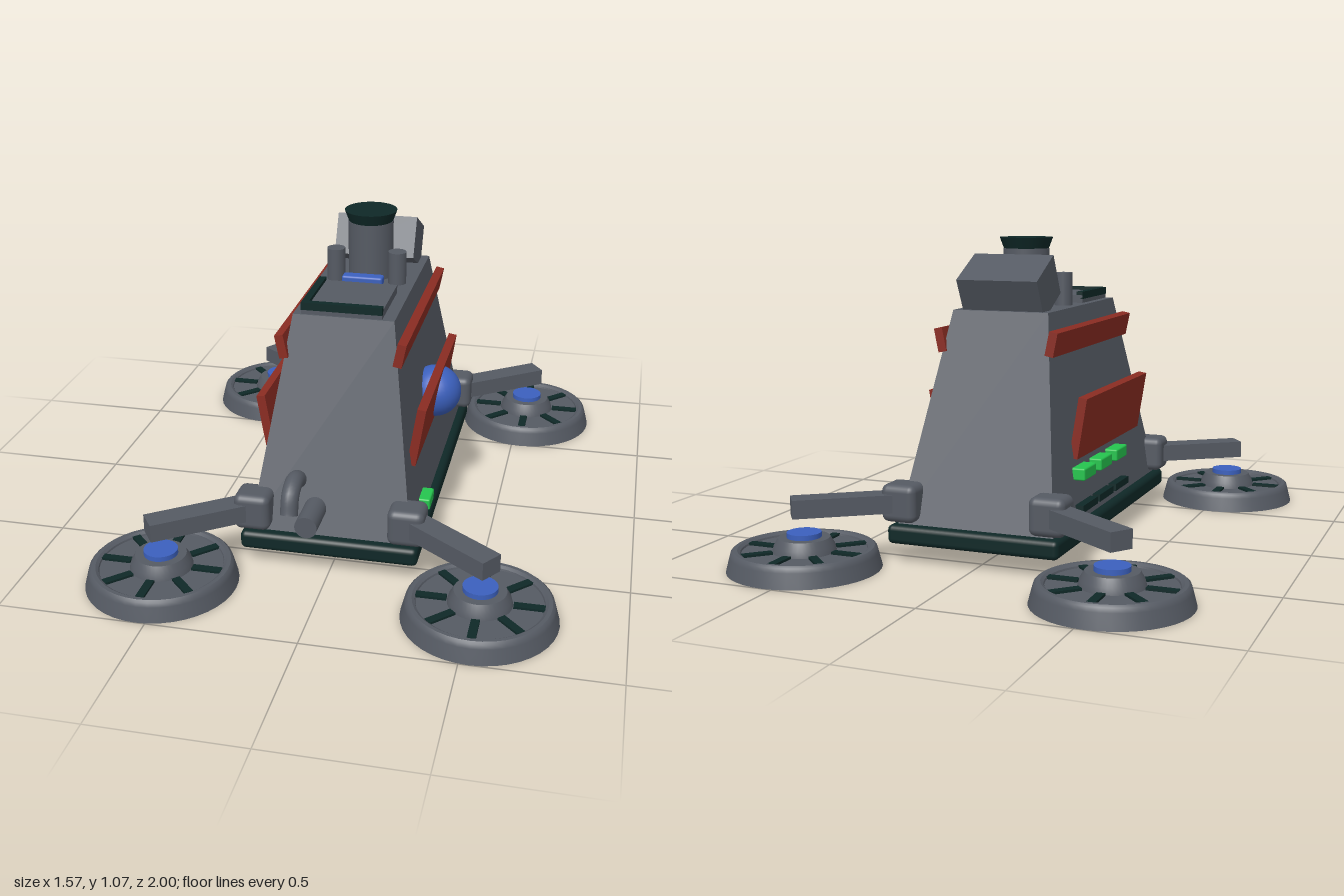
import * as THREE from 'three';
import { toCreasedNormals } from 'three/addons/utils/BufferGeometryUtils.js';
import { RoundedBoxGeometry } from 'three/addons/geometries/RoundedBoxGeometry.js';

const mat = (name, color) => {
  const m = new THREE.MeshStandardMaterial({ color });
  m.name = name;
  return m;
};

export function createModel() {
  const model = new THREE.Group();
  model.name = 'walkerMachine';
  const grey = mat('hull grey', 0x555a63);
  const dark = mat('dark green trim', 0x0f2827);
  const red = mat('red panel', 0x8a2c22);
  const blue = mat('blue lens', 0x3b60bd);
  const green = mat('green light', 0x25c44e);

  const add = (name, geometry, material, x, y, z, parent = model) => {
    const mesh = new THREE.Mesh(geometry, material);
    mesh.name = name;
    mesh.position.set(x, y, z);
    parent.add(mesh);
    return mesh;
  };
  const box = (w, h, d) => new THREE.BoxGeometry(w, h, d);
  const rounded = (w, h, d, r) => new RoundedBoxGeometry(w, h, d, 3, r);
  const cyl = (rTop, rBottom, h, n = 32) => new THREE.CylinderGeometry(rTop, rBottom, h, n);

  // Base plate and tapered hull
  add('basePlate', rounded(0.606, 0.064, 1.21, 0.018), dark, 0, 0.099, 0);
  const hull = box(0.552, 0.7, 1.14);
  const p = hull.attributes.position;
  for (let i = 0; i < p.count; i++) {
    if (p.getY(i) > 0) p.setXYZ(i, Math.sign(p.getX(i)) * 0.172, 0.35, Math.sign(p.getZ(i)) * 0.343);
  }
  const hullGeometry = hull.toNonIndexed();
  hullGeometry.computeVertexNormals();
  add('hull', hullGeometry, grey, 0, 0.48, 0);

  // Side armour, tilted outward at the top
  for (const s of [1, -1]) {
    add('sidePanel', box(0.03, 0.21, 0.69), red, s * 0.26, 0.44, 0.052).rotation.z = -s * 0.16;
    add('upperRail', box(0.03, 0.082, 0.79), red, s * 0.2, 0.731, 0.004).rotation.z = -s * 0.2;
  }
  add('sideDome', new THREE.SphereGeometry(0.093, 32, 20), blue, 0.26, 0.44, 0);

  // Side lights and vents
  for (const z of [0.32, 0.46]) {
    add('leftLight', rounded(0.045, 0.04, z < 0.4 ? 0.09 : 0.075, 0.006), green, 0.283, 0.172, z);
  }
  for (const z of [-0.26, -0.085, 0.09]) {
    add('rightLight', rounded(0.05, 0.042, 0.12, 0.006), green, -0.27, 0.289, z);
    add('rightVent', box(0.04, 0.025, 0.15), dark, -0.276, 0.175, z);
  }

  // Roof hatch with dark edging on two sides
  add('roofHatch', box(0.275, 0.03, 0.265), grey, -0.008, 0.843, 0.205);
  add('hatchSideEdge', box(0.024, 0.026, 0.265), dark, -0.134, 0.857, 0.205);
  add('hatchFrontEdge', box(0.275, 0.026, 0.024), dark, -0.008, 0.857, 0.326);
  add('roofLamp', rounded(0.145, 0.032, 0.046, 0.008), blue, -0.002, 0.852, 0.024);

  // Chimney, small stacks and the tilted rear box
  add('chimney', cyl(0.08, 0.08, 0.21), grey, 0, 0.927, -0.105);
  add('chimneyCap', cyl(0.093, 0.078, 0.04), dark, 0, 1.05, -0.105);
  for (const s of [1, -1]) add('smallStack', cyl(0.032, 0.032, 0.12, 20), grey, s * 0.11, 0.885, -0.03);
  add('rearBox', box(0.29, 0.15, 0.175), grey, 0, 0.908, -0.265).rotation.x = -0.48;

  // Front pipes
  const bend = new THREE.CatmullRomCurve3([
    [0.24, 0.46], [0.295, 0.5], [0.32, 0.555], [0.297, 0.612], [0.235, 0.636],
  ].map(([y, z]) => new THREE.Vector3(-0.12, y, z)));
  add('bentPipe', new THREE.TubeGeometry(bend, 24, 0.03, 16), grey, 0, 0, 0);
  const pipeEnd = add('bentPipeEnd', new THREE.CircleGeometry(0.03, 16), grey, -0.12, 0.235, 0.636);
  pipeEnd.rotation.x = Math.PI / 2 - 0.37;
  add('straightPipe', cyl(0.038, 0.038, 0.2, 24), grey, -0.055, 0.215, 0.573).rotation.x = Math.PI / 2;

  // Four legs: clamp, arm and round foot
  const footProfile = [
    [0, 0], [0.255, 0], [0.242, 0.05], [0.238, 0.064], [0.23, 0.071], [0.217, 0.071],
    [0.207, 0.064], [0.205, 0.058], [0.105, 0.058], [0.1, 0.078], [0.085, 0.104], [0, 0.104],
  ].map(([r, y]) => new THREE.Vector2(r, y));
  const footGeometry = toCreasedNormals(new THREE.LatheGeometry(footProfile, 40), 0.6);
  const clampGeometry = rounded(0.124, 0.128, 0.115, 0.025);
  const armGeometry = box(0.38, 0.062, 0.082);
  const spokeGeometry = box(0.1, 0.012, 0.028);
  const capGeometry = cyl(0.057, 0.057, 0.02, 24);

  for (const sx of [1, -1]) for (const sz of [1, -1]) {
    const leg = new THREE.Group();
    leg.name = (sz > 0 ? 'front' : 'rear') + (sx > 0 ? 'Left' : 'Right') + 'Leg';
    model.add(leg);
    add('cornerClamp', clampGeometry, grey, sx * 0.262, 0.204, sz * 0.551, leg);
    const arm = add('arm', armGeometry, grey, sx * 0.412, 0.204, sz * 0.655, leg);
    arm.rotation.y = -sx * sz * 0.622;

    const foot = new THREE.Group();
    foot.name = 'foot';
    foot.position.set(sx * 0.532, 0, sz * 0.745);
    leg.add(foot);
    add('footPad', footGeometry, grey, 0, 0, 0, foot);
    add('footCap', capGeometry, blue, 0, 0.111, 0, foot);
    for (let i = 0; i < 8; i++) {
      const a = (i * Math.PI) / 4;
      const spoke = add('footSpoke', spokeGeometry, dark, Math.cos(a) * 0.157, 0.06, -Math.sin(a) * 0.157, foot);
      spoke.rotation.y = a;
    }
  }
  return model;
}
